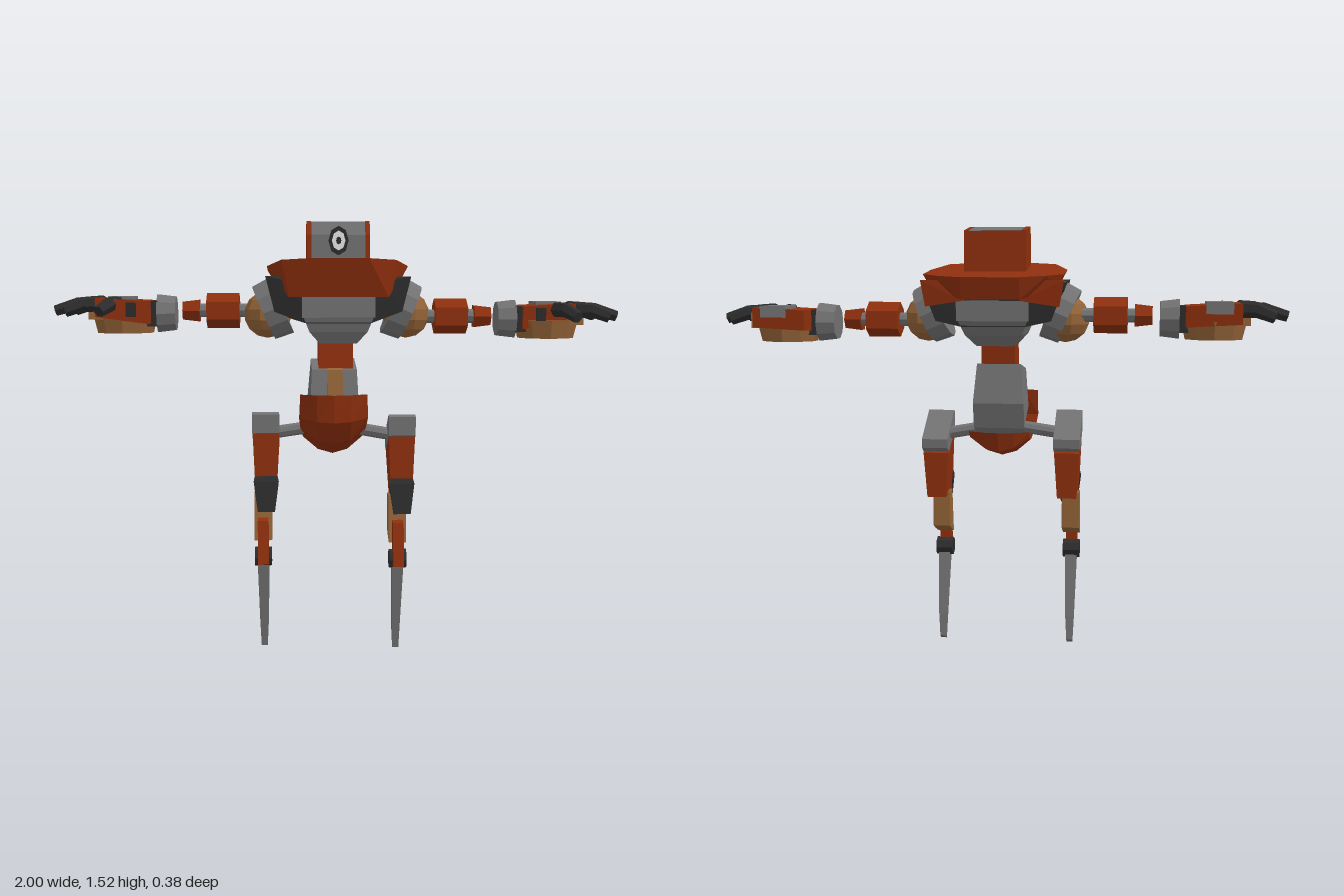
import * as THREE from 'three';
import { ConvexGeometry } from 'three/addons/geometries/ConvexGeometry.js';

const mat = (name, color) => {
  const m = new THREE.MeshStandardMaterial({ color });
  m.name = name;
  return m;
};

export function createModel() {
  const model = new THREE.Group();
  model.name = 'robot';
  const rust = mat('rust orange', 0x8e2f0d);
  const gray = mat('steel gray', 0x727272);
  const dark = mat('charcoal', 0x2c2c2c);
  const tan = mat('tan', 0x936338);
  const white = mat('eye white', 0xe4e4e4);
  rust.side = THREE.DoubleSide;

  const add = (parent, name, geo, material) => {
    const m = new THREE.Mesh(geo, material);
    m.name = name;
    parent.add(m);
    return m;
  };
  // faceted solid wrapped around a few corner points
  const hull = (parent, name, material, pts) =>
    add(parent, name, new ConvexGeometry(pts.map(p => new THREE.Vector3(...p))), material);
  // corner points repeated on both sides of x = cx
  const mirror = (pts, cx = 0) => pts.flatMap(([x, y, z]) => [[cx + x, y, z], [cx - x, y, z]]);
  // box from min/max ranges
  const box = (parent, name, material, [x0, x1], [y0, y1], [z0, z1]) => {
    const m = add(parent, name, new THREE.BoxGeometry(x1 - x0, y1 - y0, z1 - z0), material);
    m.position.set((x0 + x1) / 2, (y0 + y1) / 2, (z0 + z1) / 2);
    return m;
  };
  // side outline of [z, y] points, given a half width
  const slab = (parent, name, material, cx, w, zy) =>
    hull(parent, name, material, mirror(zy.map(([z, y]) => [w, y, z]), cx));
  const faceted = geo => {
    const g = geo.toNonIndexed();
    g.computeVertexNormals();
    return g;
  };
  // straight bar between two points
  const bar = (parent, name, material, a, b, r, sides = 8, r2 = r) => {
    const p = new THREE.Vector3(...a), q = new THREE.Vector3(...b);
    const d = q.clone().sub(p);
    const m = add(parent, name, faceted(new THREE.CylinderGeometry(r2, r, d.length(), sides)), material);
    m.position.copy(p).add(q).multiplyScalar(0.5);
    m.quaternion.setFromUnitVectors(new THREE.Vector3(0, 1, 0), d.normalize());
    return m;
  };

  // head: gray core between rust side and back plates, tilted slightly
  const head = new THREE.Group();
  head.name = 'head';
  model.add(head);
  slab(head, 'headCore', gray, 0, 0.094, [[0.108, 1.37], [0.108, 1.48], [0.085, 1.526], [-0.045, 1.51], [-0.045, 1.35]]);
  for (const s of [-1, 1])
    slab(head, 'headSide', rust, s * 0.1, 0.008, [[0.115, 1.36], [0.112, 1.48], [0.088, 1.527], [-0.052, 1.51], [-0.052, 1.34]]);
  box(head, 'headBack', rust, [-0.1, 0.1], [1.34, 1.508], [-0.053, -0.044]);
  // eye: stacked oval discs
  for (const [name, m, r, z, depth] of [['eyeRing', dark, 0.034, 0.112, 0.03], ['eyeWhite', white, 0.023, 0.128, 0.008], ['pupil', dark, 0.009, 0.132, 0.006]]) {
    const disc = add(head, name, faceted(new THREE.CylinderGeometry(r, r, depth, 8)), m);
    disc.rotation.x = Math.PI / 2;
    disc.scale.z = 1.45;
    disc.position.set(0, 1.46, z);
  }

  // wide collar sloping back
  hull(model, 'collar', rust, mirror([
    [0.1, 1.4, 0.185], [0.195, 1.395, 0.15], [0.245, 1.375, 0.05], [0.245, 1.36, -0.1], [0.19, 1.355, -0.16],
    [0.1, 1.35, -0.19], [0.17, 1.27, 0.145], [0.215, 1.32, 0.06], [0.215, 1.31, -0.1], [0.1, 1.275, -0.165],
  ]));
  for (const s of [-1, 1])
    hull(model, 'shoulderBlade', rust, [
      [0.1, 1.34, -0.15], [0.245, 1.34, -0.15], [0.1, 1.27, -0.15], [0.23, 1.25, -0.14],
      [0.1, 1.34, -0.11], [0.245, 1.34, -0.11], [0.1, 1.27, -0.11], [0.23, 1.25, -0.11],
    ].map(([x, y, z]) => [x * s, y, z]));

  // chest
  hull(model, 'chest', dark, mirror([
    [0.25, 1.34, 0.115], [0.25, 1.33, -0.12], [0.22, 1.22, 0.115], [0.2, 1.2, -0.11],
    [0.11, 1.18, 0.13], [0.11, 1.18, -0.11], [0.15, 1.32, 0.135],
  ]));
  hull(model, 'breastBand', gray, mirror([
    [0.125, 1.27, 0.145], [0.125, 1.2, 0.145], [0.125, 1.27, -0.13], [0.125, 1.2, -0.125],
  ]));
  hull(model, 'belly', gray, mirror([
    [0.12, 1.2, 0.135], [0.12, 1.2, -0.12], [0.065, 1.11, 0.1], [0.065, 1.11, -0.05], [0.1, 1.15, 0.12], [0.1, 1.15, -0.09],
  ]));

  // waist and pelvis block
  slab(model, 'waist', rust, -0.008, 0.06, [[0.08, 1.13], [-0.03, 1.13], [-0.015, 0.98], [0.1, 0.98]]);
  hull(model, 'pelvis', gray, mirror([[0.078, 1.02, 0.11], [0.078, 1.048, -0.05], [0.09, 0.91, -0.072],
    [0.09, 0.82, -0.045], [0.06, 0.75, 0.01], [0.085, 0.88, 0.135], [0.07, 0.8, 0.1]], -0.014));
  slab(model, 'pelvisFrontPlate', tan, -0.012, 0.026, [[0.105, 1.025], [0.13, 1.02], [0.152, 0.9], [0.14, 0.84], [0.1, 0.84]]);

  // curved cup under the pelvis: rows of [y, z, half width, edge rise, edge pull]
  const rows = [[0.937, 0.187, 0.116, 0, -0.045], [0.84, 0.178, 0.12, 0.012, -0.06], [0.76, 0.115, 0.115, 0.05, -0.04],
    [0.714, 0.02, 0.105, 0.06, 0], [0.742, -0.085, 0.105, 0.045, 0.03], [0.81, -0.108, 0.108, 0, 0.04]];
  const pos = [], idx = [], n = 5;
  rows.forEach(([y, z, w, rise, pull], r) => {
    for (let i = 0; i < n; i++) {
      const t = i / (n - 1) * 2 - 1;
      pos.push(-0.017 + w * t, y + rise * t * t, z + pull * t * t);
      if (r && i) {
        const a = (r - 1) * n + i - 1, b = r * n + i - 1;
        idx.push(a, b, a + 1, b, b + 1, a + 1);
      }
    }
  });
  const cup = new THREE.BufferGeometry();
  cup.setAttribute('position', new THREE.Float32BufferAttribute(pos, 3));
  cup.setIndex(idx);
  add(model, 'pelvisCup', faceted(cup), rust);

  // arms: s = side, dy and dz place each arm
  const arm = (s, dy, dz) => {
    const g = new THREE.Group();
    g.name = s > 0 ? 'leftArm' : 'rightArm';
    model.add(g);
    const flip = pts => pts.map(([x, y, z]) => [x * s, y, z]);
    const range = (a, b) => s > 0 ? [a, b] : [-b, -a];
    const y = 1.2 + dy, z = -0.01 + dz;

    // shoulder
    bar(g, 'shoulderRing', gray, [s * 0.195, 1.24, 0], [s * 0.258, 1.212, 0], 0.106, 12, 0.1);
    const ball = add(g, 'shoulderBall', faceted(new THREE.SphereGeometry(0.083, 10, 7)), tan);
    ball.position.set(s * 0.245, 1.207, -0.005 + dz * 0.3);

    // upper arm and elbow
    bar(g, 'armRod', gray, [s * 0.28, y, z], [s * 0.5, y, z], 0.024);
    const upper = bar(g, 'upperArm', rust, [s * 0.345, y, z], [s * 0.46, y, z], 0.062, 6);
    upper.rotateY(Math.PI / 6);
    bar(g, 'elbow', rust, [s * 0.485, y, z + 0.005], [s * 0.545, y, z + 0.005], 0.044, 6, 0.036);

    // wrist and hand
    const wz = -0.025 + dz;
    bar(g, 'wristCuff', gray, [s * 0.57, y - 0.01, wz], [s * 0.635, y - 0.01, wz], 0.062, 10, 0.07);
    box(g, 'wristJoint', dark, range(0.63, 0.68), [y - 0.055, y + 0.035], [wz - 0.05, wz + 0.055]);
    hull(g, 'handBack', rust, flip([
      [0.655, y + 0.035, -0.165], [0.655, y + 0.035, 0.045], [0.84, y + 0.045, -0.165], [0.84, y + 0.045, 0.05],
      [0.655, y - 0.035, -0.16], [0.655, y - 0.045, 0.045], [0.84, y - 0.025, -0.16], [0.84, y - 0.02, 0.05],
    ]));
    box(g, 'handPlate', gray, range(0.72, 0.81), [y + 0.01, y + 0.05], [-0.17, -0.045]);
    box(g, 'handWindow', dark, range(0.7, 0.735), [y - 0.02, y + 0.03], [0.046, 0.053]);
    // rounded palm with a tan edge towards the fingers
    const palm = bar(g, 'palm', tan, [s * 0.75, y - 0.078, -0.025 + dz], [s * 0.75, y - 0.015, -0.025 + dz], 0.1, 10, 0.115);
    palm.scale.z = 0.9;
    box(g, 'knuckles', tan, range(0.81, 0.868), [y - 0.03, y + 0.025], [-0.1 + dz, 0.055 + dz]);

    // fingers: root x, root z, tip x, tip z
    const fz = dz * 1.9;
    for (const [x0, z0, x1, z1] of [[0.835, -0.06, 0.945, -0.095], [0.84, 0.012, 0.995, 0.012], [0.835, 0.075, 0.945, 0.11], [0.77, 0.06, 0.82, 0.165]]) {
      const mx = (x0 + x1) / 2, mz = (z0 + z1) / 2;
      bar(g, 'fingerBase', dark, [s * x0, y + 0.025, z0 + fz], [s * mx, y + 0.023, mz + fz], 0.028, 6, 0.026);
      bar(g, 'fingerTip', dark, [s * (mx - 0.008), y + 0.025, mz + fz], [s * x1, y, z1 + fz], 0.026, 6, 0.021);
    }
  };
  arm(1, 0, 0);
  arm(-1, 0.02, -0.035);

  // legs: cx = centre of the thigh
  const leg = (name, cx, dy, dz) => {
    const g = new THREE.Group();
    g.name = name;
    g.position.set(cx, dy, dz);
    model.add(g);
    slab(g, 'hipCap', gray, 0, 0.047, [[0.128, 0.79], [0.128, 0.855], [0.11, 0.862], [-0.03, 0.772], [-0.027, 0.74], [0, 0.722]]);
    hull(g, 'thigh', rust, mirror([[0.046, 0.79, 0.122], [0.045, 0.72, -0.012], [0.034, 0.555, 0.117], [0.034, 0.555, -0.003], [0.04, 0.64, 0.122]]));
    hull(g, 'kneePlate', dark, mirror([[0.038, 0.645, 0.118], [0.044, 0.62, 0.13], [0.03, 0.515, 0.148], [0.03, 0.515, 0.135], [0.042, 0.6, 0.115]]));
    const x = -0.012;
    slab(g, 'shin', tan, x, 0.031, [[0.085, 0.57], [0.03, 0.57], [0.035, 0.44], [0.065, 0.425], [0.112, 0.405], [0.1, 0.46]]);
    slab(g, 'shinGuard', rust, x, 0.019, [[0.135, 0.48], [0.095, 0.485], [0.1, 0.38], [0.14, 0.325], [0.165, 0.33]]);
    bar(g, 'ankle', dark, [x - 0.03, 0.347, 0.108], [x + 0.03, 0.347, 0.108], 0.034, 8);
    hull(g, 'spike', gray, mirror([[0.021, 0.335, 0.122], [0.021, 0.34, 0.084], [0.011, 0.002, 0.06], [0.011, 0.015, 0.044], [0.016, 0.1, 0.05]], x));
  };
  leg('leftLeg', 0.222, 0, 0);
  leg('rightLeg', -0.253, 0.01, -0.012);
  bar(model, 'hipAxle', gray, [0.05, 0.81, 0.05], [0.19, 0.785, 0.05], 0.022);
  bar(model, 'hipAxle', gray, [-0.08, 0.815, 0.05], [-0.22, 0.795, 0.05], 0.022);

  return model;
}
